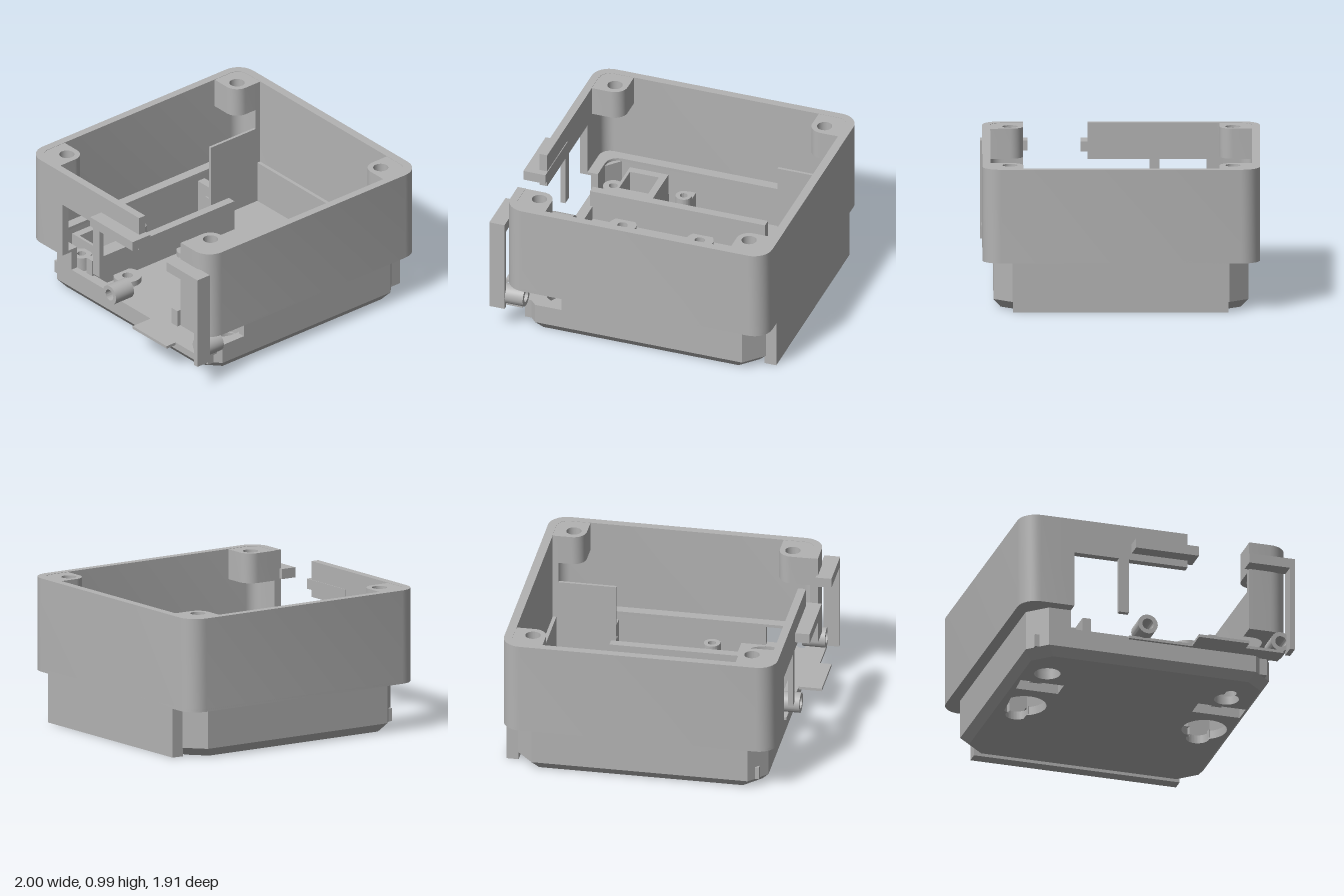
import * as THREE from 'three';
import { toCreasedNormals } from 'three/addons/utils/BufferGeometryUtils.js';

const grey = new THREE.MeshStandardMaterial({ color: 0xb3b3b3, side: THREE.DoubleSide });
grey.name = 'grey plastic';

// plan shapes use (x, z) coordinates
const poly = (pts) => new THREE.Shape(pts.map(([x, z]) => new THREE.Vector2(x, z)));
const rect = (x0, x1, z0, z1) => poly([[x0, z0], [x1, z0], [x1, z1], [x0, z1]]);
const circle = (x, z, r) => new THREE.Shape().absarc(x, z, r, 0, Math.PI * 2, false);

// large circle with a smaller one joined on its +x (dir 1) or -x (dir -1) side
function keyhole(x, z, R, gap, r, dir) {
  const turn = dir > 0 ? 0 : Math.PI;
  const s = new THREE.Shape();
  s.absarc(x, z, R, turn + 0.42, turn + Math.PI * 2 - 0.42, false);
  s.absarc(x + dir * gap, z, r, turn - 2.1, turn + 2.1, false);
  return s;
}

// outline of a wall open on its -x side, between z = back and z = front
function openWall(outer, inner, back, front) {
  const side = ([x0, x1, z0, z1, r]) => {
    const pts = [[x0, front]];
    const corners = [[x0 + r, z1 - r, Math.PI], [x1 - r, z1 - r, Math.PI / 2],
      [x1 - r, z0 + r, 0], [x0 + r, z0 + r, -Math.PI / 2]];
    for (const [cx, cz, a] of corners) {
      for (let i = 0; i <= 8; i++) {
        const t = a - (i / 8) * Math.PI / 2;
        pts.push([cx + r * Math.cos(t), cz + r * Math.sin(t)]);
      }
    }
    pts.push([x0, back]);
    return pts;
  };
  return poly([...side(outer), ...side(inner).reverse()]);
}

export function createModel() {
  const model = new THREE.Group();
  model.name = 'enclosure';

  const add = (name, geo) => {
    const mesh = new THREE.Mesh(geo, grey);
    mesh.name = name;
    model.add(mesh);
    return mesh;
  };
  const box = (name, x0, x1, y0, y1, z0, z1) => {
    const g = new THREE.BoxGeometry(x1 - x0, y1 - y0, z1 - z0);
    g.translate((x0 + x1) / 2, (y0 + y1) / 2, (z0 + z1) / 2);
    return add(name, g);
  };
  const solid = (shape, y0, y1, holes = []) => {
    shape.holes.push(...holes);
    const g = new THREE.ExtrudeGeometry(shape, { depth: y1 - y0, bevelEnabled: false, curveSegments: 24 });
    g.rotateX(Math.PI / 2);
    g.translate(0, y1, 0);
    return g;
  };
  const prism = (name, shape, y0, y1, holes) => add(name, toCreasedNormals(solid(shape, y0, y1, holes), 0.6));

  // upper shell, open on the -x side
  const outer = [-0.9, 1, -0.955, 0.94, 0.13];
  prism('upperShell', openWall(outer, [-0.845, 0.94, -0.9, 0.885, 0.08], -0.59, 0.66), 0.34, 0.99);
  prism('shellLedge', openWall(outer, [-0.77, 0.93, -0.83, 0.815, 0.09], -0.59, 0.66), 0.34, 0.36);
  box('sideLintel', -0.9, -0.845, 0.74, 0.99, -0.59, 0.22);
  box('windowPost', -0.9, -0.865, 0.34, 0.79, -0.27, -0.2);
  box('sideBeam', -1, -0.84, 0.79, 0.86, -0.18, 0.27);

  // wall that runs down to the ground on the +x side
  box('lowerSideWall', 0.915, 1, 0, 0.36, -0.74, 0.73);

  // floor with openings and a chamfered lower edge
  const octagon = [[-0.82, 0.735], [-0.7, 0.865], [0.8, 0.865], [0.92, 0.735],
    [0.92, -0.745], [0.8, -0.875], [-0.7, -0.875], [-0.82, -0.745]];
  const floor = solid(poly(octagon), 0, 0.06, [
    keyhole(0.05, -0.655, 0.155, 0.15, 0.08, 1), keyhole(0.05, 0.635, 0.155, 0.15, 0.08, 1),
    rect(-0.34, -0.2, -0.825, -0.49), rect(-0.34, -0.2, 0.47, 0.81),
    circle(-0.49, -0.655, 0.09), keyhole(-0.46, 0.635, 0.085, 0.1, 0.04, -1),
  ]);
  const p = floor.attributes.position;
  for (let i = 0; i < p.count; i++) {
    const x = p.getX(i), z = p.getZ(i);
    const onEdge = x < -0.81 || x > 0.91 || Math.abs(z + 0.005) > 0.86;
    if (onEdge && p.getY(i) < 0.01) p.setXYZ(i, 0.05 + (x - 0.05) * 0.943, 0, z * 0.943);
  }
  add('floor', toCreasedNormals(floor, 0.4));

  // walls of the lower tub; the upper part is cut away at the front -x corner
  const inner = [[-0.77, 0.72], [-0.68, 0.815], [0.78, 0.815], [0.87, 0.72],
    [0.915, 0.66], [0.915, -0.68], [0.87, -0.73], [0.78, -0.83], [-0.68, -0.83], [-0.77, -0.73]];
  add('tubLowerWall', solid(poly(octagon), 0.06, 0.2, [poly(inner)]));
  add('tubUpperWall', solid(poly([[-0.51, 0.865], ...octagon.slice(2), [-0.82, -0.59],
    [-0.77, -0.59], ...inner.slice(2).reverse(), [-0.51, 0.815]]), 0.2, 0.34));

  // screw bosses that fill the top corners
  for (const [cx, cz, wx, wz] of [[-0.71, -0.77, -0.86, -0.92], [0.81, -0.77, 0.95, -0.92],
    [-0.71, 0.75, -0.86, 0.9], [0.81, 0.75, 0.95, 0.9]]) {
    const sx = Math.sign(wx), sz = Math.sign(wz), pts = [[wx, wz], [cx - sx * 0.09, wz]];
    for (let i = 0; i <= 10; i++) {
      const a = (i / 10) * Math.PI / 2;
      pts.push([cx - sx * 0.09 * Math.cos(a), cz - sz * 0.09 * Math.sin(a)]);
    }
    pts.push([wx, cz - sz * 0.09]);
    prism('cornerBoss', poly(pts), 0.78, 0.988, [circle(cx, cz, 0.052)]);
  }

  // central tray with two rails and two mounting rings
  box('tray', -0.77, 0.5, 0.06, 0.1, -0.43, 0.41);
  box('backRail', -0.77, 0.5, 0.06, 0.32, -0.49, -0.43);
  box('frontRail', -0.77, 0.5, 0.06, 0.32, 0.41, 0.47);
  box('trayEnd', -0.77, -0.75, 0.06, 0.2, -0.43, 0.41);
  for (const x of [-0.51, 0.05]) prism('mountRing', circle(x, -0.365, 0.095), 0.1, 0.14, [circle(x, -0.365, 0.036)]);

  // partitions of the +x compartment, posts and ribs, mirrored front to back
  for (const s of [-1, 1]) {
    const at = (name, x0, x1, y0, y1, a, b) => {
      const z = [s * a - 0.01, s * b - 0.01].sort((m, n) => m - n);
      box(name, x0, x1, y0, y1, z[0], z[1]);
    };
    at('partition', 0.5, 0.94, 0.06, 0.63, 0.67, 0.69);
    at('partitionTop', 0.9, 0.94, 0.63, 0.86, 0.67, 0.69);
    at('partitionFoot', 0.5, 0.72, 0.06, 0.22, 0.69, 0.73);
    at('rib', 0.51, 0.57, 0.06, 0.3, 0.69, 0.83);
    at('slotRib', -0.2, -0.145, 0.06, 0.2, 0.48, 0.82);
    const pz = s * 0.645 - 0.01;
    prism('post', circle(-0.17, pz, 0.056), 0.06, 0.28, [circle(-0.17, pz, 0.027)]);
  }

  // recessed pad at the front and socket box at the back
  prism('frontPad', rect(-0.79, -0.34, 0.47, 0.82), 0.06, 0.2, [circle(-0.535, 0.635, 0.165)]);
  prism('socketBase', rect(-0.77, -0.34, -0.83, -0.49), 0.06, 0.15, [circle(-0.49, -0.655, 0.09)]);
  prism('socketBox', rect(-0.62, -0.34, -0.82, -0.49), 0.15, 0.31, [rect(-0.6, -0.39, -0.765, -0.55)]);
  prism('smallRing', circle(-0.68, -0.65, 0.07), 0.15, 0.25, [circle(-0.68, -0.65, 0.03)]);

  // outside bracket, sill and hinge tubes on the -x side
  box('bracketBeam', -1, -0.89, 0.79, 0.86, 0.63, 0.955);
  box('bracketPost', -1, -0.89, 0.18, 0.86, 0.92, 0.955);
  box('sill', -1, -0.78, 0.18, 0.2, 0.27, 0.63);
  box('innerSill', -0.84, -0.77, 0.18, 0.2, -0.18, 0.27);
  box('frontSill', -0.92, -0.78, 0.18, 0.2, 0.63, 0.9);
  for (const z of [-0.07, 0.88]) {
    const g = solid(circle(0, 0, 0.07), 0, 0.16, [circle(0, 0, 0.04)]);
    g.rotateZ(Math.PI / 2);
    g.translate(-0.76, 0.265, z);
    add('hingeTube', toCreasedNormals(g, 0.6));
  }

  return model;
}
